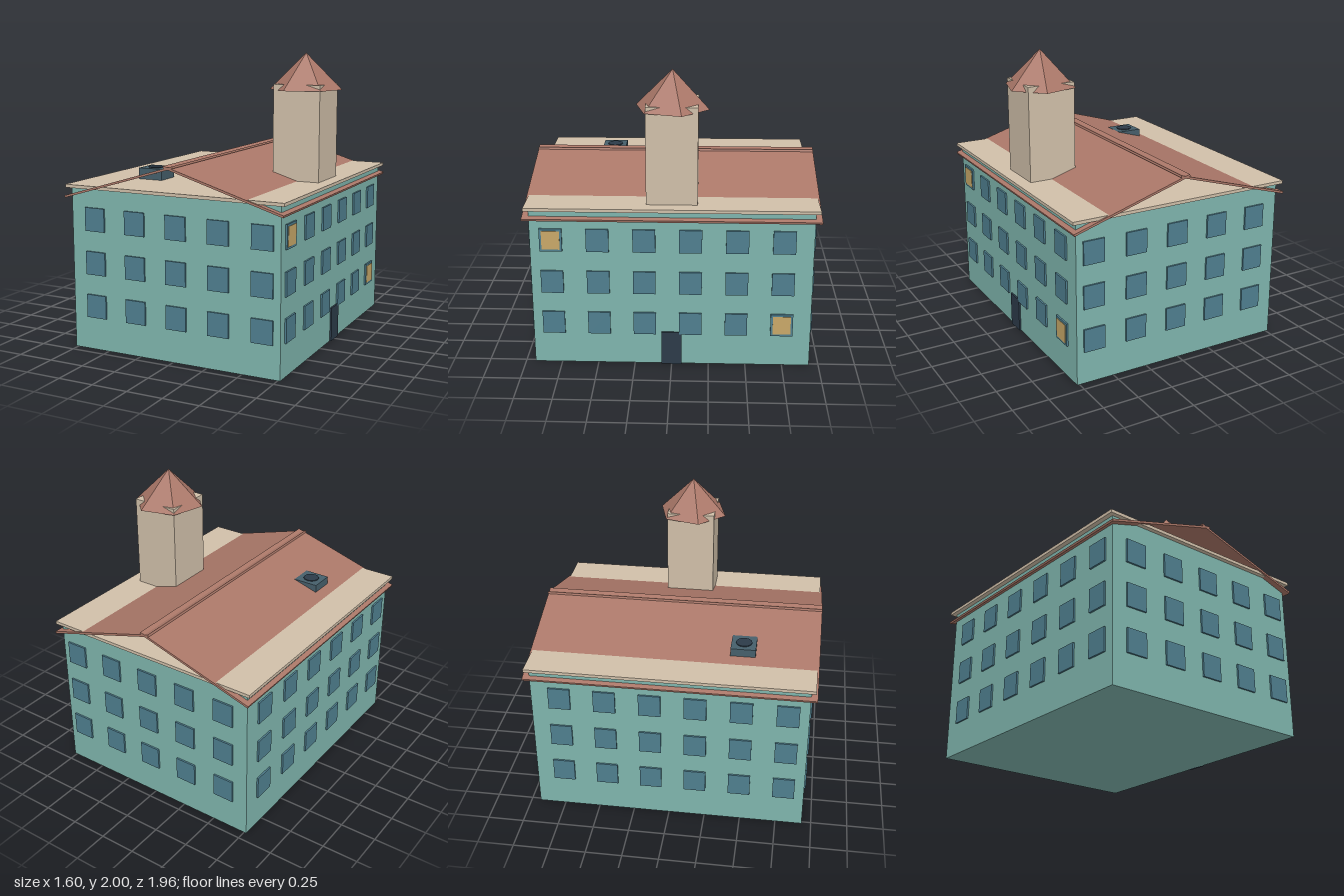
import * as THREE from 'three';

const paint = (color) => new THREE.MeshStandardMaterial({ color, flatShading: true });

export function createModel() {
  const model = new THREE.Group();
  const teal = paint(0x7fb5ad), cream = paint(0xd0bfa9), brick = paint(0xaa7768);
  const glass = paint(0x4f7f8f), lit = paint(0xc8a868), dark = paint(0x2c3b49), metal = paint(0x465f6b);

  const add = (name, geometry, material, x, y, z, parent = model) => {
    const mesh = new THREE.Mesh(geometry, material);
    mesh.name = name;
    mesh.position.set(x, y, z);
    parent.add(mesh);
    return mesh;
  };
  const box = (name, w, h, d, material, x, y, z, parent) =>
    add(name, new THREE.BoxGeometry(w, h, d), material, x, y, z, parent);

  // Walls and the slab on top of them
  const halfX = 0.767, halfZ = 0.935;
  box('walls', halfX * 2, 1.115, halfZ * 2, teal, 0, 0.5575, 0);
  box('corniceSlab', 1.6, 0.022, 1.93, cream, 0, 1.124, 0);

  // Window grid on all four sides
  const windows = new THREE.Group();
  windows.name = 'windows';
  model.add(windows);
  const step = 0.307, depth = 0.024;
  for (let row = 0; row < 3; row++) {
    const y = 0.305 + row * 0.3;
    for (const side of [1, -1]) {
      for (let i = 0; i < 5; i++)
        box('endWindow', 0.15, 0.16, depth, glass, -0.585 + i * step, y, side * halfZ, windows);
      for (let i = 0; i < 6; i++)
        box('sideWindow', depth, 0.16, 0.15, glass, side * halfX, y, -0.74 + i * step, windows);
    }
  }

  // Two lit panes and the door on the +x side
  box('litPane', 0.02, 0.13, 0.12, lit, halfX + 0.005, 0.905, 0.795, windows);
  box('litPane', 0.02, 0.13, 0.12, lit, halfX + 0.005, 0.305, -0.74, windows);
  box('door', 0.024, 0.24, 0.135, dark, halfX, 0.12, 0);

  // Open gable roof: two thin sheets crossing at the ridge
  const slope = Math.atan(0.3), inner = -0.033, outer = 0.798;
  for (const side of [1, -1]) {
    const mid = (inner + outer) / 2;
    const sheet = box('roofSheet', (outer - inner) / Math.cos(slope), 0.015, 1.955, brick,
      side * mid, 1.292 - 0.3 * mid, 0);
    sheet.rotation.z = -side * slope;
  }

  // Square tower with a six-sided cap, its corners poking through
  const tower = new THREE.Group();
  tower.name = 'tower';
  tower.position.x = 0.537;
  model.add(tower);
  box('towerShaft', 0.338, 0.665, 0.338, cream, 0, 1.4575, 0, tower);
  const cap = add('towerCap', new THREE.ConeGeometry(0.25, 0.25, 6), brick, 0, 1.875, 0, tower);
  cap.rotation.y = Math.PI / 4;

  // Roof vent with a round fan cover
  const vent = new THREE.Group();
  vent.name = 'roofVent';
  vent.position.set(-0.387, 0, 0.465);
  model.add(vent);
  box('ventBox', 0.18, 0.08, 0.17, metal, 0, 1.172, 0, vent);
  add('ventFan', new THREE.CylinderGeometry(0.055, 0.055, 0.02, 12), dark, 0, 1.208, 0, vent);

  return model;
}
